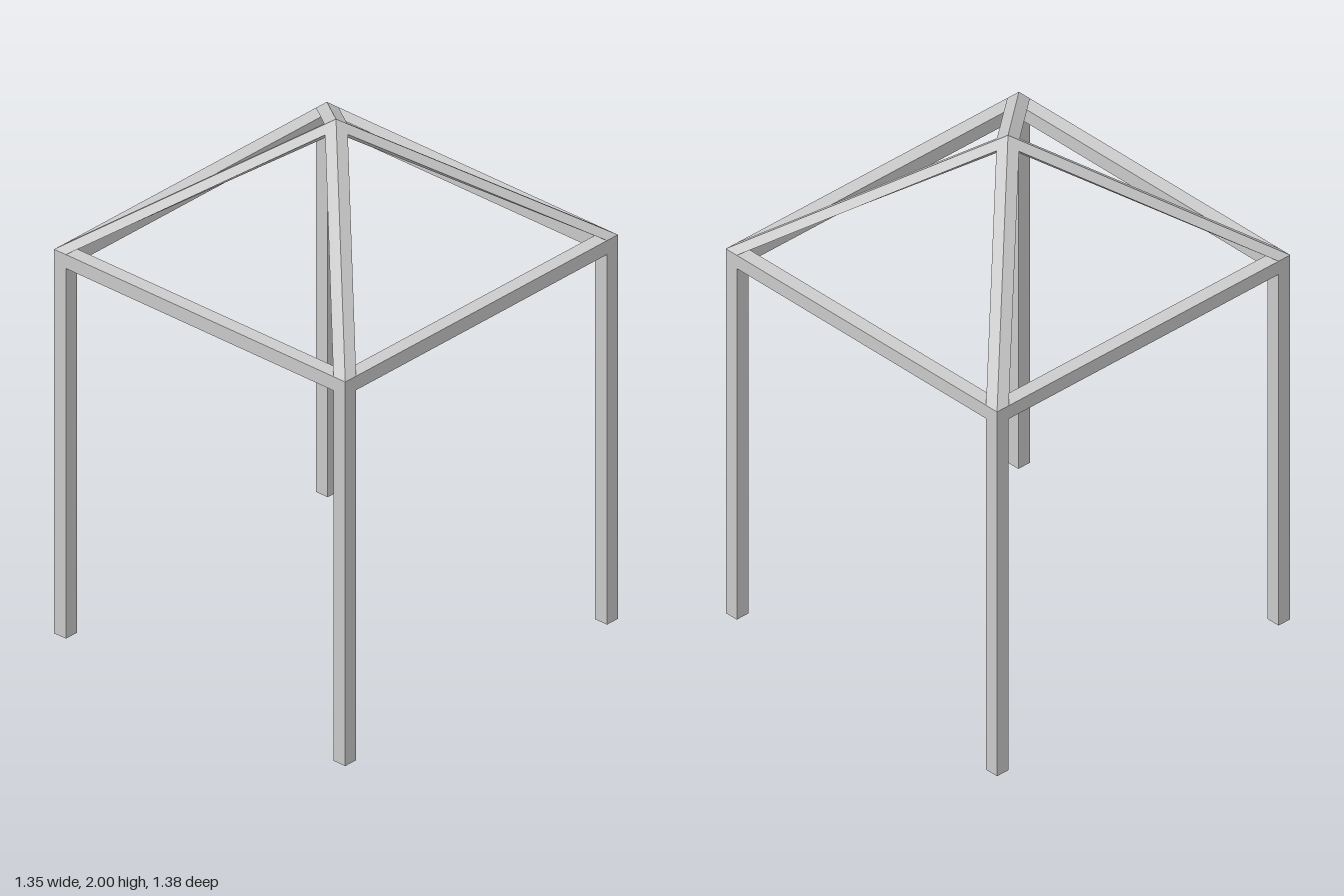
import * as THREE from 'three';

const X = 0.677, Z = 0.69;            // outer half sizes of the frame
const T = 0.055;                      // bar thickness
const BEAM_TOP = 1.515, APEX = 2;

// Hip rafter: the square top of a post carried up to the apex and mitred there
function rafterGeometry(sx, sz) {
  const t = (X - T) / X, sideY = BEAM_TOP + (APEX - BEAM_TOP) * t;
  const base = [[X, BEAM_TOP, Z], [X - T, BEAM_TOP, Z], [X - T, BEAM_TOP, Z - T], [X, BEAM_TOP, Z - T]];
  const top = [[0, APEX, 0], [0, sideY, T], [0, 1.945, 0], [T, sideY, 0]];
  const positions = [];
  for (let i = 0; i < 4; i++) {
    const j = (i + 1) % 4;
    const quad = [base[i], top[i], top[j], base[j]];
    if (sx * sz < 0) quad.reverse();
    for (const k of [0, 1, 2, 0, 2, 3]) {
      const [x, y, z] = quad[k];
      positions.push(x * sx, y, z * sz);
    }
  }
  const geometry = new THREE.BufferGeometry();
  geometry.setAttribute('position', new THREE.Float32BufferAttribute(positions, 3));
  geometry.computeVertexNormals();
  return geometry;
}

export function createModel() {
  const group = new THREE.Group();
  const material = new THREE.MeshStandardMaterial({ color: 0xcccccc, flatShading: true });
  const add = (name, geometry, x = 0, y = 0, z = 0) => {
    const mesh = new THREE.Mesh(geometry, material);
    mesh.name = name;
    mesh.position.set(x, y, z);
    group.add(mesh);
  };

  // Posts and hip rafters at the four corners
  const postHeight = BEAM_TOP - T;
  for (const sx of [1, -1]) for (const sz of [1, -1]) {
    const corner = (sz > 0 ? 'front' : 'back') + (sx > 0 ? 'Left' : 'Right');
    add(corner + 'Post', new THREE.BoxGeometry(T, postHeight, T), sx * (X - T / 2), postHeight / 2, sz * (Z - T / 2));
    add(corner + 'Rafter', rafterGeometry(sx, sz));
  }

  // Ring of beams on top of the posts
  const beamY = BEAM_TOP - T / 2;
  for (const s of [1, -1]) {
    add(s > 0 ? 'frontBeam' : 'backBeam', new THREE.BoxGeometry(2 * X, T, T), 0, beamY, s * (Z - T / 2));
    add(s > 0 ? 'leftBeam' : 'rightBeam', new THREE.BoxGeometry(T, T, 2 * (Z - T)), s * (X - T / 2), beamY, 0);
  }
  return group;
}
